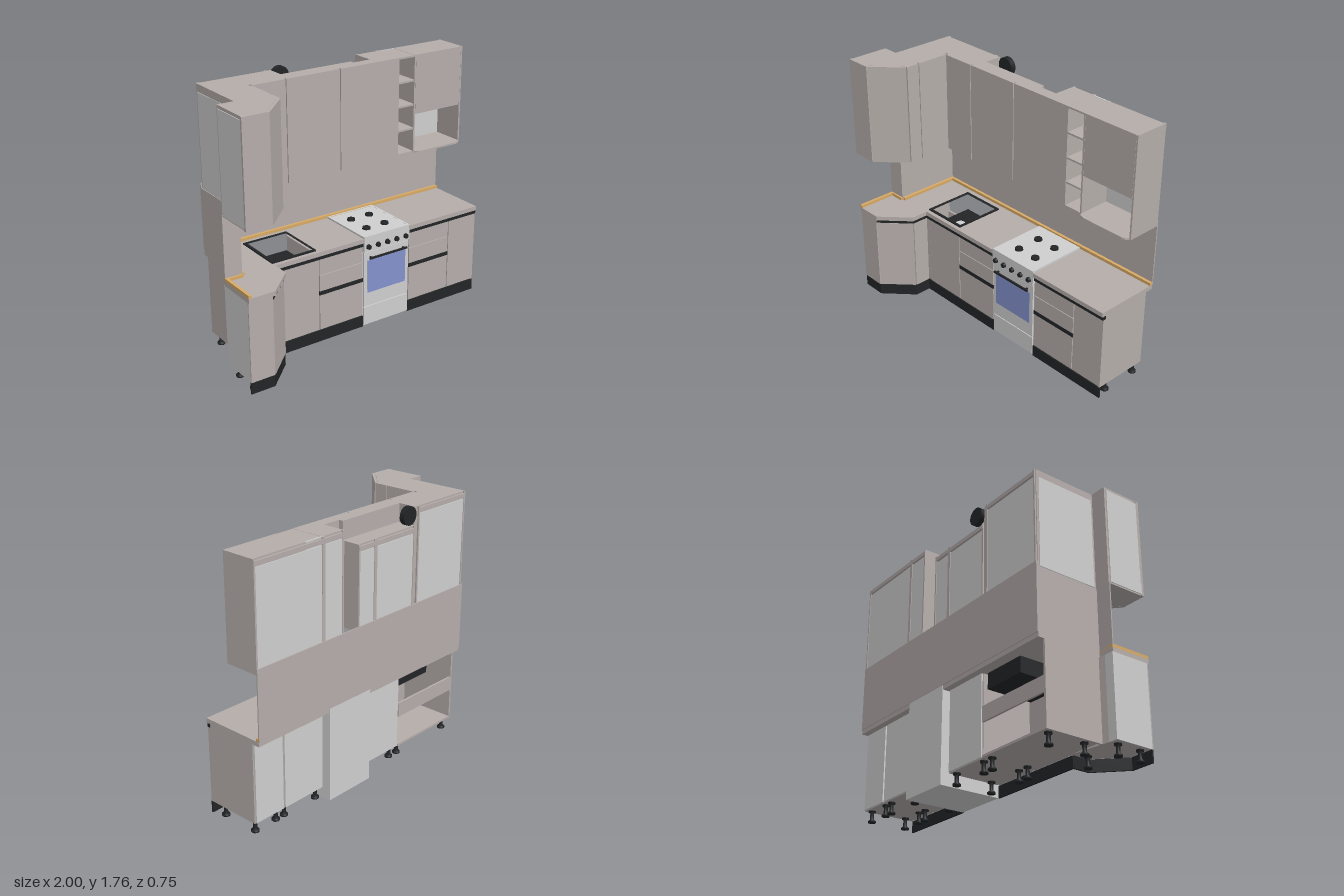
import * as THREE from 'three';

const mat = (name, hex) => {
  const m = new THREE.MeshStandardMaterial({ color: hex });
  m.name = name;
  return m;
};

export function createModel() {
  const root = new THREE.Group();
  root.name = 'cornerKitchen';
  const taupe = mat('taupe', 0xb5adaa), pale = mat('paleGrey', 0xcfcfcf), black = mat('black', 0x222426);
  const glass = mat('blueGlass', 0x8392cc), wood = mat('wood', 0xd8aa66);

  const add = (name, geo, m) => {
    const mesh = new THREE.Mesh(geo, m);
    mesh.name = name;
    root.add(mesh);
    return mesh;
  };
  // Box from its minimum and maximum on each axis
  const box = (name, x0, x1, y0, y1, z0, z1, m) =>
    add(name, new THREE.BoxGeometry(x1 - x0, y1 - y0, z1 - z0)
      .translate((x0 + x1) / 2, (y0 + y1) / 2, (z0 + z1) / 2), m);
  // Upright prism over a plan outline of [x, z] points
  const prism = (name, pts, y0, y1, m, hole) => {
    const flip = (p) => p.map(([x, z]) => new THREE.Vector2(x, -z));
    const shape = new THREE.Shape(flip(pts));
    if (hole) shape.holes.push(new THREE.Path(flip(hole)));
    const geo = new THREE.ExtrudeGeometry(shape, { depth: y1 - y0, bevelEnabled: false, curveSegments: 8 });
    return add(name, geo.rotateX(-Math.PI / 2).translate(0, y0, 0), m);
  };
  // Upright board whose outer face runs from a to b in plan, with a small gap at each end
  const board = (name, a, b, y0, y1, t, m, gap = 0) => {
    const len = Math.hypot(b[0] - a[0], b[1] - a[1]);
    const u = [(b[0] - a[0]) / len, (b[1] - a[1]) / len], n = [-u[1], u[0]];
    const at = (s, d) => [a[0] + u[0] * s - n[0] * d, a[1] + u[1] * s - n[1] * d];
    return prism(name, [at(gap, 0), at(len - gap, 0), at(len - gap, t), at(gap, t)], y0, y1, m);
  };
  const G = 0.003;
  const rect = (x0, x1, z0, z1) => [[x0, z0], [x1, z0], [x1, z1], [x0, z1]];

  // ---- Worktop, wood trim and splashback ----
  prism('worktopLeft', [[-1, 0.09], [-0.89, 0.09], [-0.89, -0.37], [0.035, -0.37], [0.035, 0.08],
    [-0.64, 0.08], [-0.64, 0.2], [-0.82, 0.375], [-1, 0.375]], 0.615, 0.645, taupe,
  rect(-0.635, -0.325, -0.295, 0.045));
  box('worktopRight', 0.412, 1, 0.615, 0.645, -0.37, 0.08, taupe);
  const wall = [[1, -0.367], [-0.882, -0.367], [-0.882, 0.09], [-1, 0.09], [-1, 0.375]];
  for (let i = 0; i < 4; i++) board('woodTrim', wall[i], wall[i + 1], 0.645, 0.665, 0.02, wood);
  board('backSplash', [1, -0.375], [-0.89, -0.375], 0.645, 1.1, 0.008, taupe);
  board('sideSplash', [-0.89, -0.375], [-0.89, 0.09], 0.645, 1.07, 0.008, taupe);
  board('stepSplash', [-0.882, 0.09], [-1, 0.09], 0.645, 1.07, 0.008, taupe);

  // ---- Sink: rim, thin walls, floor and drain ----
  prism('sinkRim', rect(-0.645, -0.32, -0.305, 0.052), 0.645, 0.654, black, rect(-0.625, -0.335, -0.285, 0.035));
  prism('sinkWalls', rect(-0.635, -0.325, -0.295, 0.045), 0.52, 0.65, black, rect(-0.625, -0.335, -0.285, 0.035));
  box('sinkFloor', -0.635, -0.325, 0.51, 0.522, -0.295, 0.045, black);
  add('sinkDrain', new THREE.CylinderGeometry(0.033, 0.033, 0.006, 24).translate(-0.515, 0.525, -0.12), pale);

  // ---- Base cabinets ----
  for (const [x0, x1] of [[-0.31, 0.03], [0.418, 0.76], [0.76, 1]]) {
    box('baseCabinet', x0, x1, 0.08, 0.615, -0.315, 0.05, taupe);
    box('baseCabinetBack', x0 + 0.008, x1 - 0.008, 0.085, 0.615, -0.325, -0.315, pale);
  }
  box('cabinetSide', 0.985, 1, 0.08, 0.615, -0.315, 0.07, taupe);
  // Open-backed sink cabinet
  box('sinkCabinetFloor', -0.89, -0.31, 0.08, 0.095, -0.325, 0.05, taupe);
  box('sinkCabinetSide', -0.89, -0.875, 0.08, 0.615, -0.325, 0.09, taupe);
  box('sinkCabinetFront', -0.66, -0.31, 0.08, 0.615, 0.035, 0.05, taupe);
  box('sinkCabinetRail', -0.875, -0.31, 0.3, 0.4, -0.325, -0.31, taupe);
  // Angled end cabinet
  prism('endCabinet', [[-0.995, 0.095], [-0.66, 0.05], [-0.66, 0.185], [-0.84, 0.355], [-0.995, 0.355]],
    0.08, 0.615, taupe);
  board('endCabinetBack', [-0.89, 0.087], [-1, 0.087], 0.08, 0.615, 0.01, pale);
  board('endCabinetSide', [-1, 0.095], [-1, 0.36], 0.08, 0.615, 0.006, pale);
  board('endCabinetFront', [-1, 0.368], [-0.835, 0.368], 0.08, 0.615, 0.018, taupe);

  // Doors, drawers and black grip rails
  const A = [-0.83, 0.368], B = [-0.647, 0.19], C = [-0.647, 0.07];
  board('angledBaseDoor', A, B, 0.085, 0.588, 0.018, taupe, G);
  board('cornerBaseDoor', B, C, 0.085, 0.588, 0.018, taupe, G);
  board('sinkDoor', [-0.62, 0.07], [-0.31, 0.07], 0.085, 0.588, 0.02, taupe, G);
  board('cornerPost', [-0.66, 0.068], [-0.62, 0.068], 0.085, 0.588, 0.02, taupe);
  board('rightBaseDoor', [0.76, 0.07], [1, 0.07], 0.085, 0.588, 0.02, taupe, G);
  for (const [x0, x1] of [[-0.31, 0.033], [0.415, 0.76]]) {
    for (const [y0, y1] of [[0.085, 0.335], [0.362, 0.473], [0.478, 0.588]])
      board('drawerFront', [x0, 0.07], [x1, 0.07], y0, y1, 0.02, taupe, G);
    board('drawerGrip', [x0, 0.073], [x1, 0.073], 0.335, 0.362, 0.03, black);
  }
  const rails = [[A, B], [B, C], [[-0.65, 0.075], [0.033, 0.075]], [[0.415, 0.075], [1, 0.075]]];
  for (const [a, b] of rails) board('gripRail', a, b, 0.59, 0.615, 0.03, black);

  // Plinth and feet
  const plinth = [[[-1, 0.365], [-0.835, 0.365]], [[-0.835, 0.365], [-0.65, 0.188]], [[-0.65, 0.188], [-0.65, 0.072]],
    [[-0.66, 0.072], [0.035, 0.072]], [[0.412, 0.072], [1, 0.072]]];
  for (const [a, b] of plinth) board('plinth', a, b, 0, 0.078, 0.012, black);
  const footProfile = [[0, 0], [0.026, 0], [0.026, 0.012], [0.013, 0.022], [0.013, 0.066], [0.024, 0.07], [0.024, 0.081]]
    .map(([r, y]) => new THREE.Vector2(r, y));
  const footGeo = new THREE.LatheGeometry(footProfile, 12);
  const feet = [[-0.95, 0.14], [-0.95, 0.31], [-0.7, 0.14]];
  for (const x of [-0.85, -0.35, -0.27, 0, 0.45, 0.725, 0.795, 0.965]) feet.push([x, -0.02], [x, -0.28]);
  for (const [x, z] of feet) add('foot', footGeo, black).position.set(x, 0, z);

  // ---- Cooker ----
  box('cookerBody', 0.037, 0.41, 0, 0.645, -0.372, 0.062, pale);
  box('cookerDrawer', 0.04, 0.407, 0.01, 0.14, 0.062, 0.074, pale);
  box('cookerDoor', 0.04, 0.407, 0.146, 0.54, 0.062, 0.074, pale);
  box('controlPanel', 0.037, 0.41, 0.546, 0.645, 0.062, 0.08, pale);
  box('ovenWindow', 0.068, 0.38, 0.245, 0.48, 0.074, 0.078, glass);
  box('ovenHandle', 0.07, 0.378, 0.496, 0.508, 0.09, 0.102, black);
  for (const x of [0.09, 0.358]) box('handleMount', x - 0.006, x + 0.006, 0.497, 0.507, 0.073, 0.092, black);
  prism('hobRim', rect(0.037, 0.41, -0.345, 0.08), 0.645, 0.656, pale, rect(0.052, 0.395, -0.33, 0.065));
  for (let i = 0; i < 5; i++)
    add('knob', new THREE.CylinderGeometry(0.015, 0.018, 0.018, 16).rotateX(Math.PI / 2)
      .translate(0.07 + i * 0.0765, 0.582, 0.088), black);
  for (const x of [0.148, 0.298]) for (const z of [-0.05, -0.225])
    add('burner', new THREE.CylinderGeometry(0.026, 0.028, 0.014, 20).translate(x, 0.652, z), black);

  // ---- Wall cabinets ----
  const Y0 = 1.065, Y1 = 1.74;
  prism('cornerWallCabinet', [[-0.885, -0.36], [-0.4, -0.36], [-0.4, -0.15], [-0.66, -0.15], [-0.66, 0.185],
    [-0.83, 0.355], [-0.995, 0.355], [-0.995, 0.09], [-0.885, 0.09]], Y0, Y1, taupe);
  // Middle cabinets with a duct opening and a stepped rear top
  const duct = [[0.46, -0.36], [0.285, -0.36], [0.285, -0.21], [0.155, -0.21]];
  prism('middleWallCabinet', [[-0.4, -0.15], [0.46, -0.15], ...duct, [0.155, -0.36], [-0.4, -0.36]], Y0, 1.62, taupe);
  prism('middleWallCabinetTop', [[-0.4, -0.15], [0.46, -0.15], ...duct, [0.155, -0.24], [-0.37, -0.24],
    [-0.37, -0.36], [-0.4, -0.36]], 1.62, Y1, taupe);
  // Doors
  for (const [x0, x1] of [[-0.64, -0.4], [-0.4, 0], [0, 0.46]])
    board('wallDoor', [x0, -0.13], [x1, -0.13], Y0, Y1, 0.021, taupe, G);
  board('angledWallDoor', [-0.82, 0.375], [-0.64, 0.195], Y0, Y1, 0.02, taupe, G);
  board('legWallDoor', [-0.64, 0.192], [-0.64, 0.095], Y0, Y1, 0.021, taupe, G);
  board('legWallDoor', [-0.64, 0.095], [-0.64, -0.13], Y0, Y1, 0.021, taupe, G);
  board('wallEndPanel', [-1, 0.375], [-0.823, 0.375], Y0, Y1, 0.021, taupe);
  // Open shelves
  box('shelfSide', 0.455, 0.465, Y0, Y1, -0.36, -0.13, taupe);
  box('shelfSide', 0.592, 0.604, Y0, Y1, -0.36, -0.13, taupe);
  for (let i = 0; i < 5; i++) {
    const y = Y0 + i * 0.1655;
    box('openShelf', 0.46, 0.6, y, y + 0.012, -0.36, -0.132, taupe);
  }
  box('shelfBack', 0.46, 0.6, Y0, Y1, -0.36, -0.352, pale);
  // Right cabinet with a niche below its door
  box('rightWallCabinet', 0.6, 1, 1.335, Y1, -0.36, -0.15, taupe);
  box('rightWallSide', 0.988, 1, Y0, Y1, -0.36, -0.13, taupe);
  board('rightWallDoor', [0.602, -0.13], [0.99, -0.13], 1.335, Y1, 0.021, taupe, G);
  box('nicheBack', 0.6, 0.99, Y0, 1.335, -0.36, -0.352, pale);
  prism('nicheShelf', [[0.6, -0.36], [0.99, -0.36], [0.99, -0.125], [0.975, -0.108], [0.95, -0.1],
    [0.645, -0.1], [0.615, -0.11], [0.6, -0.13]], Y0, Y0 + 0.012, taupe);

  // Pale backs with framing and hanging rails
  const back = (x0, x1, top) => {
    box('wallCabinetBack', x0 + 0.012, x1 - 0.012, Y0 + 0.01, top - 0.05, -0.366, -0.359, pale);
    box('hangingRail', x0, x1, top - 0.04, top - 0.012, -0.372, -0.359, taupe);
    for (const x of [x0, x1 - 0.012]) box('backFrame', x, x + 0.012, Y0, top, -0.37, -0.358, taupe);
  };
  back(-0.88, -0.4, Y1);
  back(-0.37, 0, 1.62);
  back(0, 0.155, 1.62);
  back(0.285, 0.455, Y1);
  back(0.455, 1, Y1);
  board('legBack', [-0.889, -0.345], [-0.889, 0.075], Y0 + 0.01, Y1 - 0.05, 0.006, pale);
  board('endBack', [-1, 0.105], [-1, 0.36], Y0 + 0.01, Y1 - 0.02, 0.007, pale);

  // Round vent at the rear
  add('ventDisc', new THREE.CylinderGeometry(0.06, 0.06, 0.035, 32).rotateX(Math.PI / 2)
    .translate(-0.305, 1.697, -0.362), black);

  return root;
}
